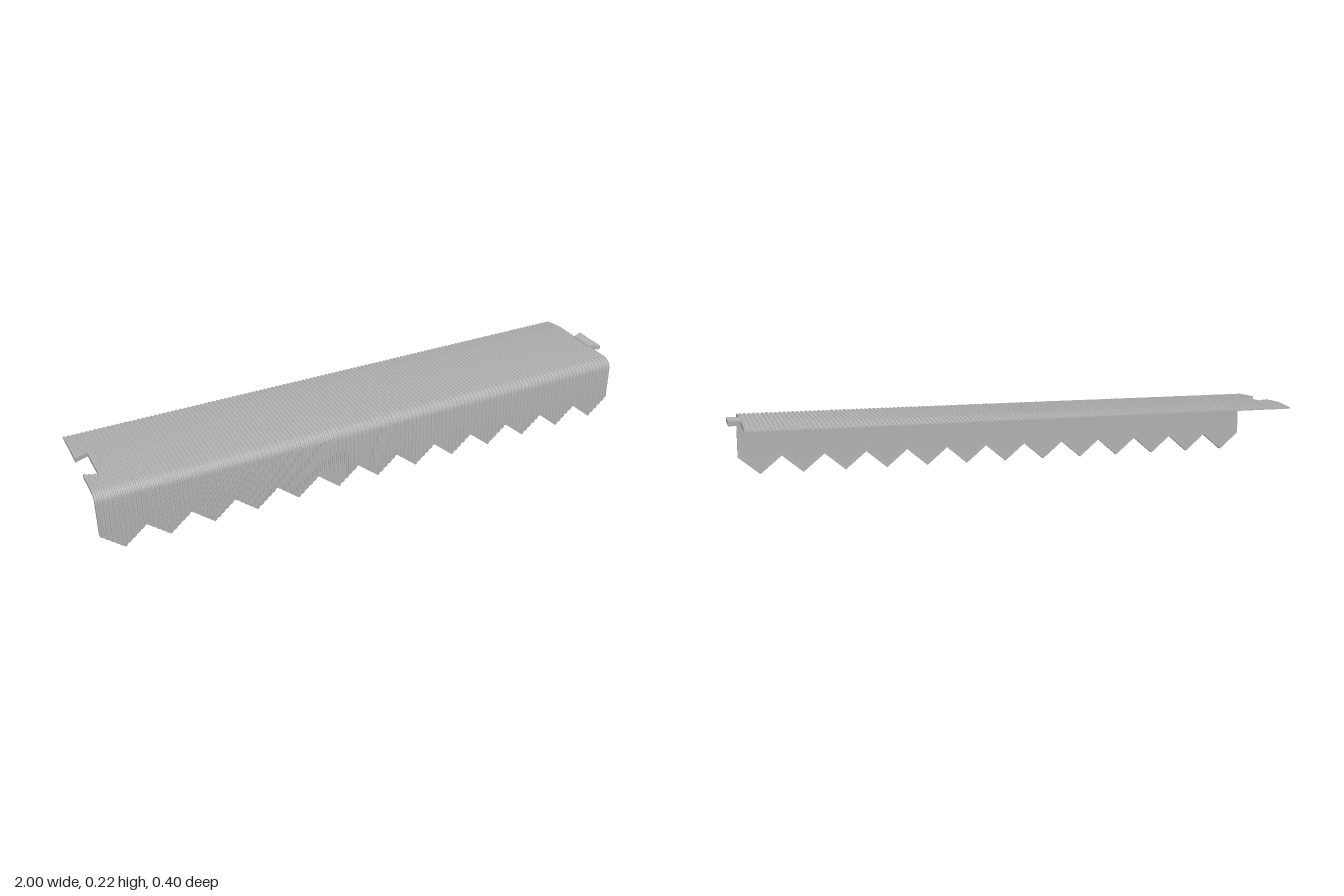
import * as THREE from 'three';
import { toCreasedNormals } from 'three/addons/utils/BufferGeometryUtils.js';

const X0 = -1, X1 = 0.96, TEETH = 13, RIBS = TEETH * 10;
const PITCH = (X1 - X0) / RIBS, DEPTH = 0.003;
const TOP = 0.222, UNDER = 0.206, FRONT = 0.2, THICK = 0.016, BACK = -0.2, TAPER = -0.12;
const NOTCH_X = X0 + 3 * PITCH, MID = 0.018;

// Each station is [outerZ, outerY, innerZ, innerY]; d is the local groove depth.
const flat = (z, d) => [z, TOP - d, z, UNDER];

// Saw-tooth lower edge, then the rounded bend
function frontStations(x, d) {
  const t = ((x - X0) / (X1 - X0)) * TEETH;
  const f = t - Math.floor(t + 1e-6);
  const y = 0.063 * Math.abs(1 - 2 * f);
  const out = [[FRONT - d, y, FRONT - THICK, y]];
  const R = 0.036, cz = FRONT - R, cy = TOP - R;
  for (let i = 0; i <= 7; i++) {
    const a = (i / 7) * Math.PI / 2, c = Math.cos(a), s = Math.sin(a);
    out.push([cz + (R - d) * c, cy + (R - d) * s, cz + (R - THICK) * c, cy + (R - THICK) * s]);
  }
  return out;
}

// Thinned rear edge
const backStations = (d) => [flat(TAPER, d), [BACK, 0.211 - d, BACK, UNDER]];

// Ribbed columns [x, depth] between two rib indices
function ribColumns(from, to) {
  const e = PITCH * 0.06, cols = [];
  for (let i = from; i < to; i++) {
    const x = X0 + i * PITCH;
    cols.push([x, 0], [x + PITCH * 0.5 - e, 0], [x + PITCH * 0.5 + e, DEPTH], [x + PITCH - 2 * e, DEPTH]);
  }
  cols.push([X0 + to * PITCH, 0]);
  return cols;
}

// Closed solid joining the cross-sections of all columns along x
function sweep(cols, stationsAt) {
  const pos = [];
  const quad = (a, b, c, d) => pos.push(...a, ...b, ...c, ...a, ...c, ...d);
  const rings = cols.map(([x, d]) => {
    const s = stationsAt(x, d);
    return [...s.map((p) => [x, p[1], p[0]]), ...s.map((p) => [x, p[3], p[2]]).reverse()];
  });
  const n = rings[0].length;
  for (let j = 0; j < rings.length - 1; j++) {
    for (let i = 0; i < n; i++) {
      const k = (i + 1) % n;
      quad(rings[j][i], rings[j + 1][i], rings[j + 1][k], rings[j][k]);
    }
  }
  const L = rings[0], R = rings[rings.length - 1];
  for (let i = 0; i < n / 2 - 1; i++) {
    quad(L[i], L[i + 1], L[n - 2 - i], L[n - 1 - i]);
    quad(R[n - 1 - i], R[n - 2 - i], R[i + 1], R[i]);
  }
  const g = new THREE.BufferGeometry();
  g.setAttribute('position', new THREE.Float32BufferAttribute(pos, 3));
  return toCreasedNormals(g, 0.4);
}

export function createModel() {
  const group = new THREE.Group();
  group.name = 'ribbedEdgeTrim';
  const grey = new THREE.MeshStandardMaterial({ color: 0xb4b2b1 });
  grey.name = 'warm grey';
  const add = (name, geometry) => {
    const m = new THREE.Mesh(geometry, grey);
    m.name = name;
    group.add(m);
  };

  // Main bent panel
  add('ribbedPanel', sweep(ribColumns(3, RIBS), (x, d) => [...frontStations(x, d), ...backStations(d)]));

  // End strips on either side of the dovetail notch
  const half = (x) => 0.05 + 0.02 * (x - X0) / (NOTCH_X - X0);
  add('notchFrontStrip', sweep(ribColumns(0, 3), (x, d) => [...frontStations(x, d), flat(MID + half(x), d)]));
  add('notchBackStrip', sweep(ribColumns(0, 3), (x, d) => [flat(MID - half(x), d), ...backStations(d)]));

  // Dovetail tab on the opposite end
  add('dovetailTab', sweep([[X1 - 0.002, 0], [1, 0]], (x, d) => {
    const w = x < 0.99 ? 0.045 : 0.064;
    return [flat(MID + 0.003 + w, d), flat(MID + 0.003 - w, d)];
  }));
  return group;
}
